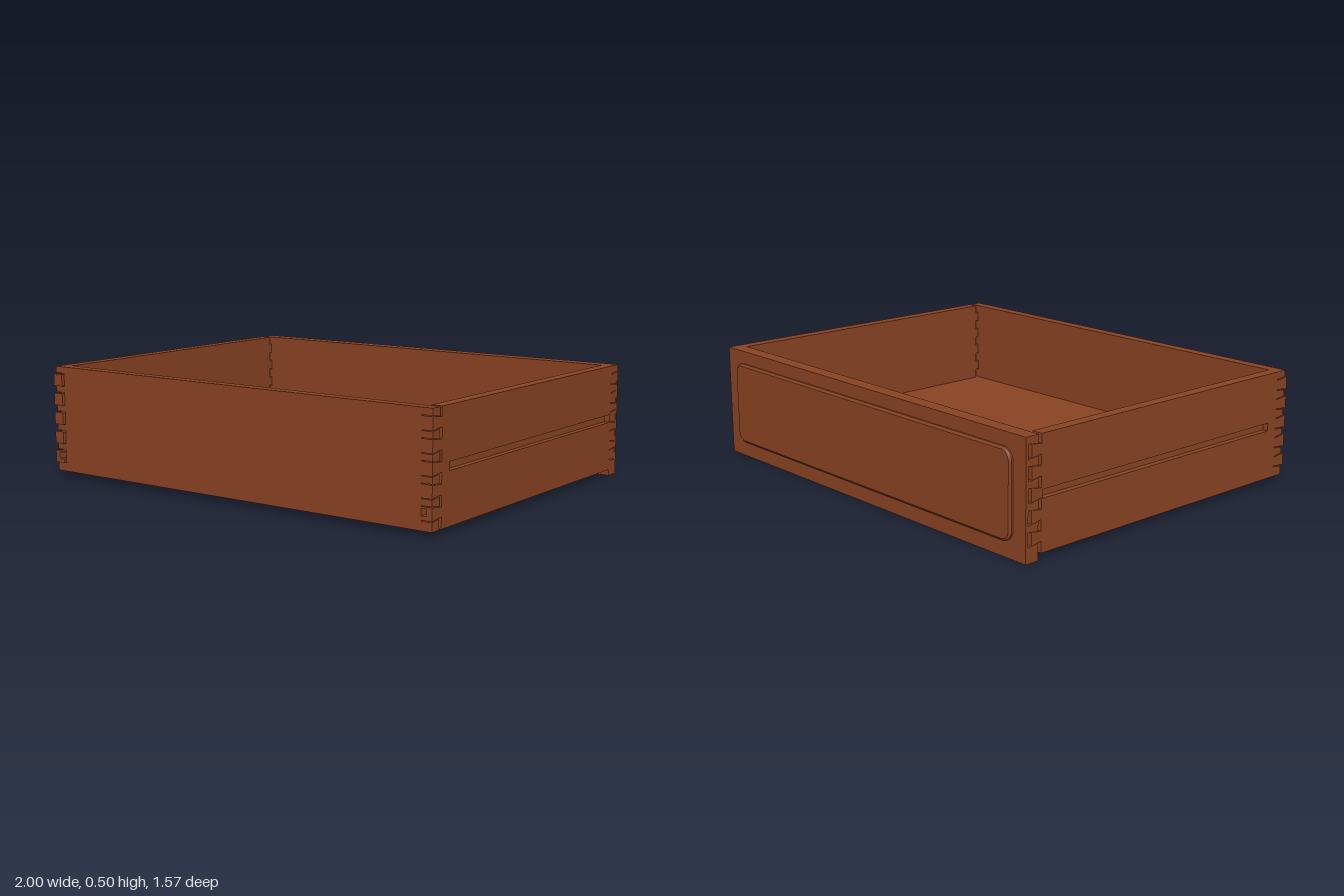
import * as THREE from 'three';

export function createModel() {
  const group = new THREE.Group();
  group.name = 'drawer';
  const wood = new THREE.MeshStandardMaterial({ color: 0x8a4323 });
  wood.name = 'stained wood';

  const add = (name, geometry, parent = group) => {
    const mesh = new THREE.Mesh(geometry, wood);
    mesh.name = name;
    parent.add(mesh);
    return mesh;
  };
  const box = (name, x0, x1, y0, y1, z0, z1, parent) =>
    add(name, new THREE.BoxGeometry(x1 - x0, y1 - y0, z1 - z0), parent)
      .position.set((x0 + x1) / 2, (y0 + y1) / 2, (z0 + z1) / 2);
  const toPoints = (list) => list.map(([a, b]) => new THREE.Vector2(a, b));

  // Extrudes a (z, y) outline across x0..x1
  const slab = (name, outline, x0, x1, hole, parent) => {
    const shape = new THREE.Shape(toPoints(outline));
    if (hole) shape.holes.push(new THREE.Path(toPoints(hole)));
    const geometry = new THREE.ExtrudeGeometry(shape, { depth: x1 - x0, bevelEnabled: false });
    geometry.rotateY(-Math.PI / 2).translate(x1, 0, 0);
    return add(name, geometry, parent);
  };

  const BOTTOM = 0.027, TOP = 0.5, WALL = 0.05, TAILS = 5;
  const NECK = 0.02, TIP = 0.027, GAP = 0.004;
  const tailY = (i) => 0.095 + 0.0865 * i;

  // Side outline with dovetails at both ends; the slot continues the floor groove
  const sideOutline = (shift, slotted) => {
    const front = 0.705 + shift, frontTip = 0.77 + shift;
    const back = -0.705 + shift, backTip = -0.755 + shift;
    const pts = [[back, BOTTOM], [front, BOTTOM]];
    for (let i = 0; i < TAILS; i++) {
      const y = tailY(i);
      pts.push([front, y - NECK], [frontTip, y - TIP]);
      if (slotted && i === 0) {
        pts.push([frontTip, 0.085], [frontTip - 0.04, 0.085], [frontTip - 0.04, 0.115], [frontTip, 0.115]);
      }
      pts.push([frontTip, y + TIP], [front, y + NECK]);
    }
    pts.push([front, TOP], [back, TOP]);
    for (let i = TAILS - 1; i >= 0; i--) {
      const y = tailY(i);
      pts.push([back, y + NECK], [backTip, y + TIP], [backTip, y - TIP], [back, y - NECK]);
    }
    return pts;
  };

  // Tapered pins filling the spaces between the tails
  const pins = (name, neckZ, endZ, low, x0, x1) => {
    const pinGroup = new THREE.Group();
    pinGroup.name = name;
    group.add(pinGroup);
    for (let i = 0; i <= TAILS; i++) {
      const below = (half) => (i === 0 ? low : tailY(i - 1) + half + GAP);
      const above = (half) => (i === TAILS ? TOP : tailY(i) - half - GAP);
      const wide = TIP - 0.001;
      slab('pin', [[neckZ, below(NECK)], [endZ, below(wide)], [endZ, above(wide)], [neckZ, above(NECK)]],
        x0, x1, null, pinGroup);
    }
  };

  for (const side of [1, -1]) {
    const label = side > 0 ? 'left' : 'right';
    const shift = side > 0 ? 0 : 0.015;
    const range = (a, b) => (side > 0 ? [a, b] : [-b, -a]);

    // Side board: outer layer with runner groove, plain inner layer
    const g0 = -0.7 + shift, g1 = 0.652 + shift;
    slab(label + 'SideOuter', sideOutline(shift, false), ...range(0.975, 1),
      [[g0, 0.245], [g1, 0.245], [g1, 0.28], [g0, 0.28]]);
    slab(label + 'SideInner', sideOutline(shift, true), ...range(1 - WALL, 0.975));

    // Corner joints
    const ends = range(1 - WALL, 1);
    pins(label + 'PlainEndPins', 0.72, 0.77, BOTTOM, ...ends);
    pins(label + 'FaceEndPins', -0.705, -0.757, 0, ...ends);
    box(label + 'FaceEnd', ...ends, 0, TOP, -0.77, -0.757);
  }

  // Cross boards and floor
  box('plainEndBoard', -0.95, 0.95, BOTTOM, TOP, 0.72, 0.77);
  box('faceBoard', -0.95, 0.95, 0, TOP, -0.77, -0.705);
  box('floorPanel', -0.96, 0.96, 0.085, 0.117, -0.715, 0.73);

  // Raised face panel with rounded corners and a bevelled edge
  const w = 0.92, y0 = 0.078, y1 = 0.432, r = 0.04;
  const panel = new THREE.Shape();
  panel.moveTo(-w + r, y0);
  panel.lineTo(w - r, y0);
  panel.absarc(w - r, y0 + r, r, -Math.PI / 2, 0);
  panel.lineTo(w, y1 - r);
  panel.absarc(w - r, y1 - r, r, 0, Math.PI / 2);
  panel.lineTo(-w + r, y1);
  panel.absarc(-w + r, y1 - r, r, Math.PI / 2, Math.PI);
  panel.lineTo(-w, y0 + r);
  panel.absarc(-w + r, y0 + r, r, Math.PI, Math.PI * 1.5);
  const panelGeometry = new THREE.ExtrudeGeometry(panel, {
    depth: 0.012, bevelEnabled: true, bevelThickness: 0.008, bevelSize: 0.01, bevelSegments: 1, curveSegments: 8,
  });
  add('raisedFacePanel', panelGeometry).position.z = -0.777;

  return group;
}
